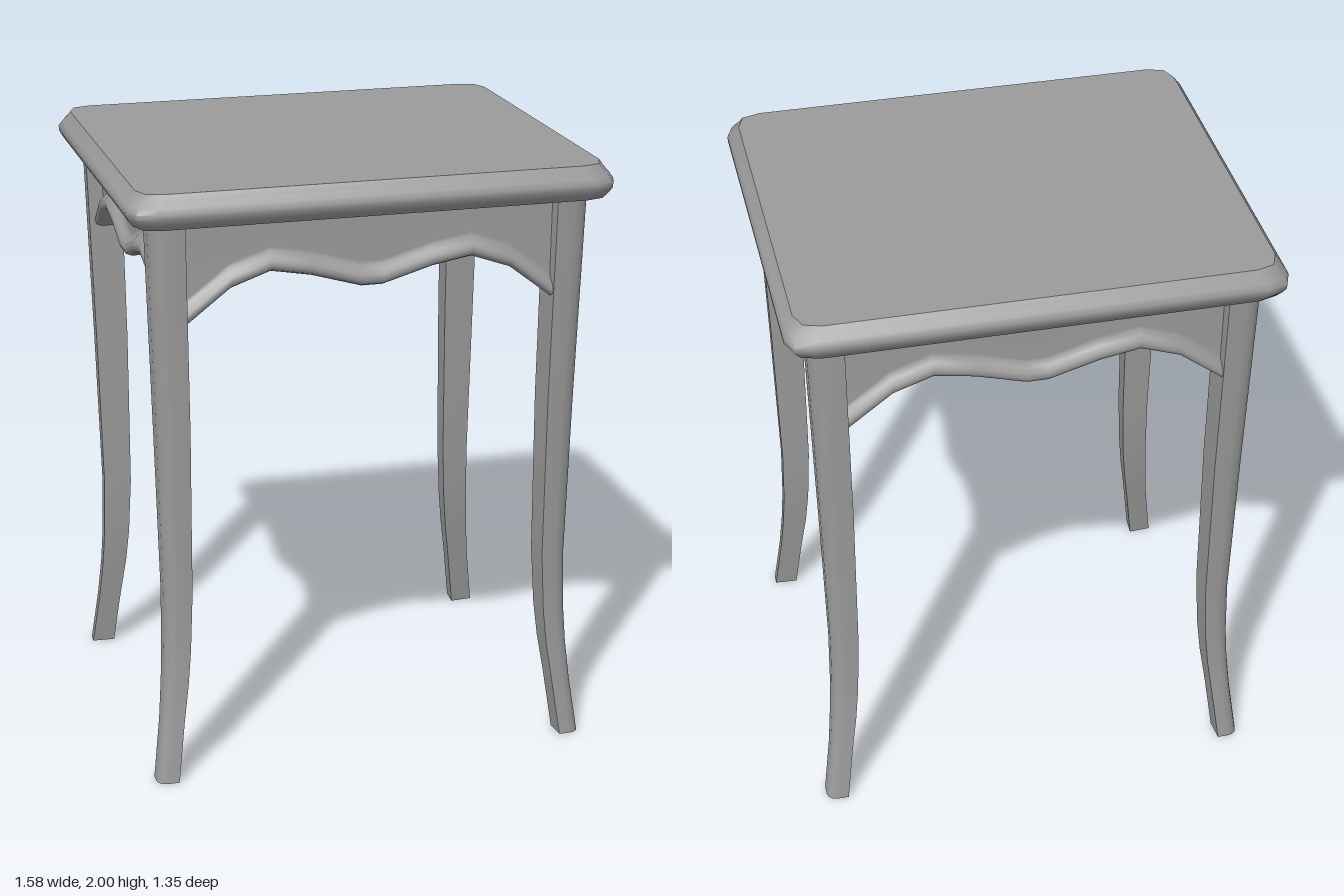
import * as THREE from 'three';
import { toCreasedNormals } from 'three/addons/utils/BufferGeometryUtils.js';

const material = new THREE.MeshStandardMaterial({ color: 0x9b9b9b });

// Skin a stack of equal-length closed rings and cap both ends.
function loft(rings, name, crease) {
  const n = rings[0].length;
  const last = rings.length - 1;
  const positions = [];
  const index = [];
  rings.forEach((ring) => ring.forEach((p) => positions.push(...p)));
  for (let r = 0; r < last; r++) {
    for (let i = 0; i < n; i++) {
      const j = (i + 1) % n;
      const a = r * n + i, b = r * n + j, c = b + n, d = a + n;
      index.push(a, b, c, a, c, d);
    }
  }
  [0, last].forEach((r) => {
    const centre = positions.length / 3;
    for (let k = 0; k < 3; k++) positions.push(rings[r].reduce((s, p) => s + p[k], 0) / n);
    for (let i = 0; i < n; i++) {
      const a = r * n + i, b = r * n + (i + 1) % n;
      index.push(centre, ...(r === 0 ? [b, a] : [a, b]));
    }
  });
  const geometry = new THREE.BufferGeometry();
  geometry.setAttribute('position', new THREE.Float32BufferAttribute(positions, 3));
  geometry.setIndex(index);
  const mesh = new THREE.Mesh(toCreasedNormals(geometry, crease), material);
  mesh.name = name;
  return mesh;
}

// Table top: rounded rectangle with a moulded edge, given as [y, inset].
function createTop() {
  const edge = [[1.89, 0.025], [1.908, 0.012], [1.928, 0.001], [1.945, 0], [1.962, 0.01], [1.98, 0.024], [2, 0.036]];
  const corner = [[0.71, 0.675], [0.768, 0.657], [0.79, 0.6]];
  const rings = edge.map(([y, inset]) => {
    const ring = [];
    [[1, 1], [1, -1], [-1, -1], [-1, 1]].forEach(([sx, sz]) => {
      const points = corner.map(([x, z]) => [sx * (x - inset), y, sz * (z - inset)]);
      ring.push(...(sx * sz > 0 ? points : points.reverse()));
    });
    return ring;
  });
  return loft(rings, 'tableTop', 0.9);
}

// Leg: square section with a rounded outer corner, flaring out at the foot.
function createLeg(sx, sz, name) {
  // [y, inner x, outer x]
  const profile = [
    [0, 0.66, 0.737], [0.2, 0.634, 0.711], [0.33, 0.615, 0.699], [0.45, 0.603, 0.692],
    [0.65, 0.593, 0.688], [1.2, 0.591, 0.7], [1.9, 0.598, 0.718],
  ];
  const section = [[0, 0], [0.07, 1], [0.55, 1], [0.78, 0.94], [0.94, 0.78], [1, 0.55], [1, 0.07]];
  const rings = profile.map(([y, inner, outer]) => {
    const ring = section.map(([u, v]) => [
      sx * (inner + (outer - inner) * u),
      y,
      sz * (inner - 0.11 + (outer - inner - 0.006) * v),
    ]);
    return sx * sz > 0 ? ring : ring.reverse();
  });
  return loft(rings, name, 0.65);
}

// Apron: flat rail with a scalloped lower edge and a rounded bead along it.
function createApron(halfEdge, innerPlane, angle, name) {
  const mirrored = halfEdge.slice().reverse().map(([x, y]) => [-x, y]);
  const rings = [...mirrored, ...halfEdge].map(([x, y]) => [
    [1.895, 0], [1.895, 0.06], [y + 0.078, 0.06], [y + 0.066, 0.061], [y + 0.053, 0.074],
    [y + 0.038, 0.087], [y + 0.022, 0.091], [y + 0.008, 0.084], [y, 0.066], [y, 0],
  ].map(([py, depth]) => [x, py, innerPlane + depth]));
  const mesh = loft(rings, name, 0.95);
  mesh.rotation.y = angle;
  return mesh;
}

export function createModel() {
  const model = new THREE.Group();
  model.name = 'sideTable';
  model.add(createTop());

  [[1, 1, 'frontLeftLeg'], [-1, 1, 'frontRightLeg'], [1, -1, 'backLeftLeg'], [-1, -1, 'backRightLeg']]
    .forEach(([sx, sz, name]) => model.add(createLeg(sx, sz, name)));

  // Lower edges from the middle to the leg
  const longEdge = [[0.035, 1.642], [0.2, 1.69], [0.33, 1.713], [0.46, 1.667], [0.612, 1.55]];
  const shortEdge = [[0.035, 1.642], [0.17, 1.69], [0.29, 1.713], [0.41, 1.677], [0.505, 1.592]];
  model.add(
    createApron(longEdge, 0.498, 0, 'frontApron'),
    createApron(longEdge, 0.498, Math.PI, 'backApron'),
    createApron(shortEdge, 0.602, Math.PI / 2, 'leftApron'),
    createApron(shortEdge, 0.602, -Math.PI / 2, 'rightApron'),
  );
  return model;
}
